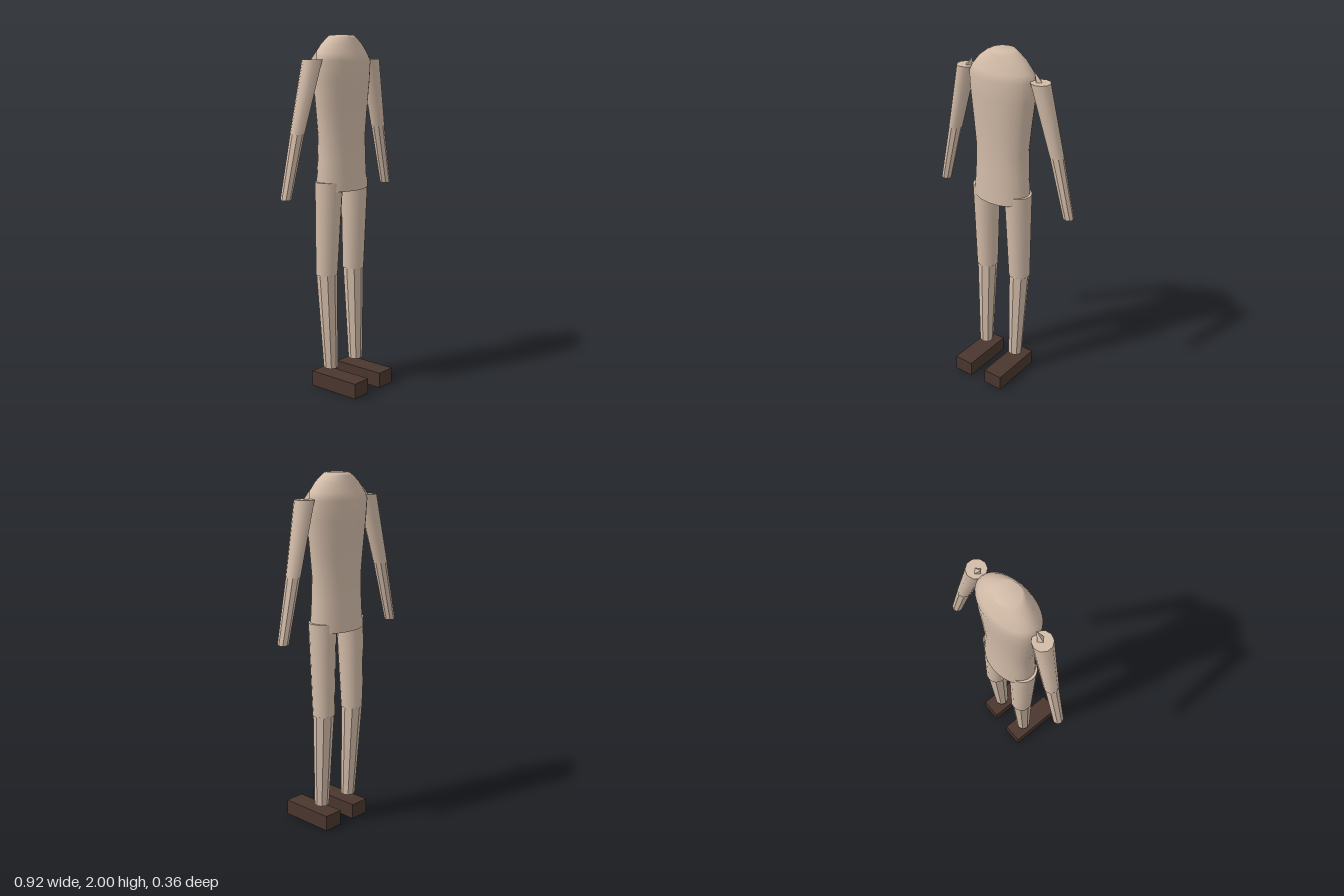
import * as THREE from 'three';
import { mergeVertices } from 'three/addons/utils/BufferGeometryUtils.js';

const skin = new THREE.MeshStandardMaterial({ color: 0xd2bba8 });
skin.name = 'skin';
const shoe = new THREE.MeshStandardMaterial({ color: 0x4a362e });
shoe.name = 'shoe';

const BODY_Z = -0.059;

function addMesh(parent, name, geometry, material) {
  const mesh = new THREE.Mesh(geometry, material);
  mesh.name = name;
  parent.add(mesh);
  return mesh;
}

// Tapered limb with level ends; from/to are [x, y, z, radius], top end first
function limb(from, to, sides, faceted) {
  const [x1, y1, z1, r1] = from;
  const [x0, y0, z0, r0] = to;
  const h = y1 - y0;
  let g = new THREE.CylinderGeometry(r1, r0, h, sides);
  g.applyMatrix4(new THREE.Matrix4().set(
    1, (x1 - x0) / h, 0, (x1 + x0) / 2,
    0, 1, 0, (y1 + y0) / 2,
    0, (z1 - z0) / h, 1, (z1 + z0) / 2,
    0, 0, 0, 1
  ));
  if (faceted) {
    g = g.toNonIndexed();
    g.computeVertexNormals();
  }
  return g;
}

// Oval torso: rings of [y, half width, half depth]
function torsoGeometry() {
  const rings = [
    [1.15, 0.172, 0.114], [1.2, 0.172, 0.113], [1.32, 0.165, 0.108],
    [1.45, 0.162, 0.105], [1.6, 0.178, 0.111], [1.75, 0.196, 0.118],
    [1.86, 0.204, 0.122], [1.9, 0.183, 0.108], [1.95, 0.143, 0.088],
    [1.985, 0.096, 0.072], [2, 0.066, 0.065], [2, 0.0001, 0.0001],
  ];
  const g = new THREE.LatheGeometry(rings.map(([y, rx]) => new THREE.Vector2(rx, y)), 32);
  const p = g.attributes.position;
  for (let i = 0; i < p.count; i++) {
    const [, rx, rz] = rings[i % rings.length];
    p.setZ(i, p.getZ(i) * rz / rx + BODY_Z);
  }
  g.deleteAttribute('uv');
  g.deleteAttribute('normal');
  const merged = mergeVertices(g, 1e-5);
  merged.computeVertexNormals();
  return merged;
}

export function createModel() {
  const model = new THREE.Group();
  model.name = 'figure';

  addMesh(model, 'torso', torsoGeometry(), skin);
  const base = addMesh(model, 'torsoBase', new THREE.CircleGeometry(1, 32), skin);
  base.rotation.x = Math.PI / 2;
  base.scale.set(0.172, 0.114, 1);
  base.position.set(0, 1.15, BODY_Z);

  for (const s of [1, -1]) {
    const side = s > 0 ? 'left' : 'right';

    // Arm
    const arm = new THREE.Group();
    arm.name = side + 'Arm';
    model.add(arm);
    const elbow = [s * 0.344, 1.48, -0.075];
    addMesh(arm, 'upperArm', limb([s * 0.242, 1.87, -0.057, 0.055], [...elbow, 0.04], 10, false), skin);
    addMesh(arm, 'forearm', limb([...elbow, 0.038], [s * 0.428, 1.135, -0.083, 0.03], 8, true), skin);
    // Small spike leaning towards the body
    addMesh(arm, 'shoulderPoint', limb([s * 0.2, 1.92, BODY_Z, 0.0005], [s * 0.231, 1.865, BODY_Z, 0.023], 4, true), skin);

    // Leg
    const leg = new THREE.Group();
    leg.name = side + 'Leg';
    model.add(leg);
    addMesh(leg, 'thigh', limb([s * 0.11, 1.2, -0.058, 0.078], [s * 0.116, 0.67, -0.072, 0.062], 16, false), skin);
    addMesh(leg, 'shin', limb([s * 0.116, 0.67, -0.072, 0.059], [s * 0.11, 0.12, -0.05, 0.041], 8, true), skin);

    // Foot
    const foot = addMesh(leg, 'foot', new THREE.BoxGeometry(0.117, 0.088, 0.324), shoe);
    foot.position.set(s * 0.11, 0.044, 0.018);
  }
  return model;
}
